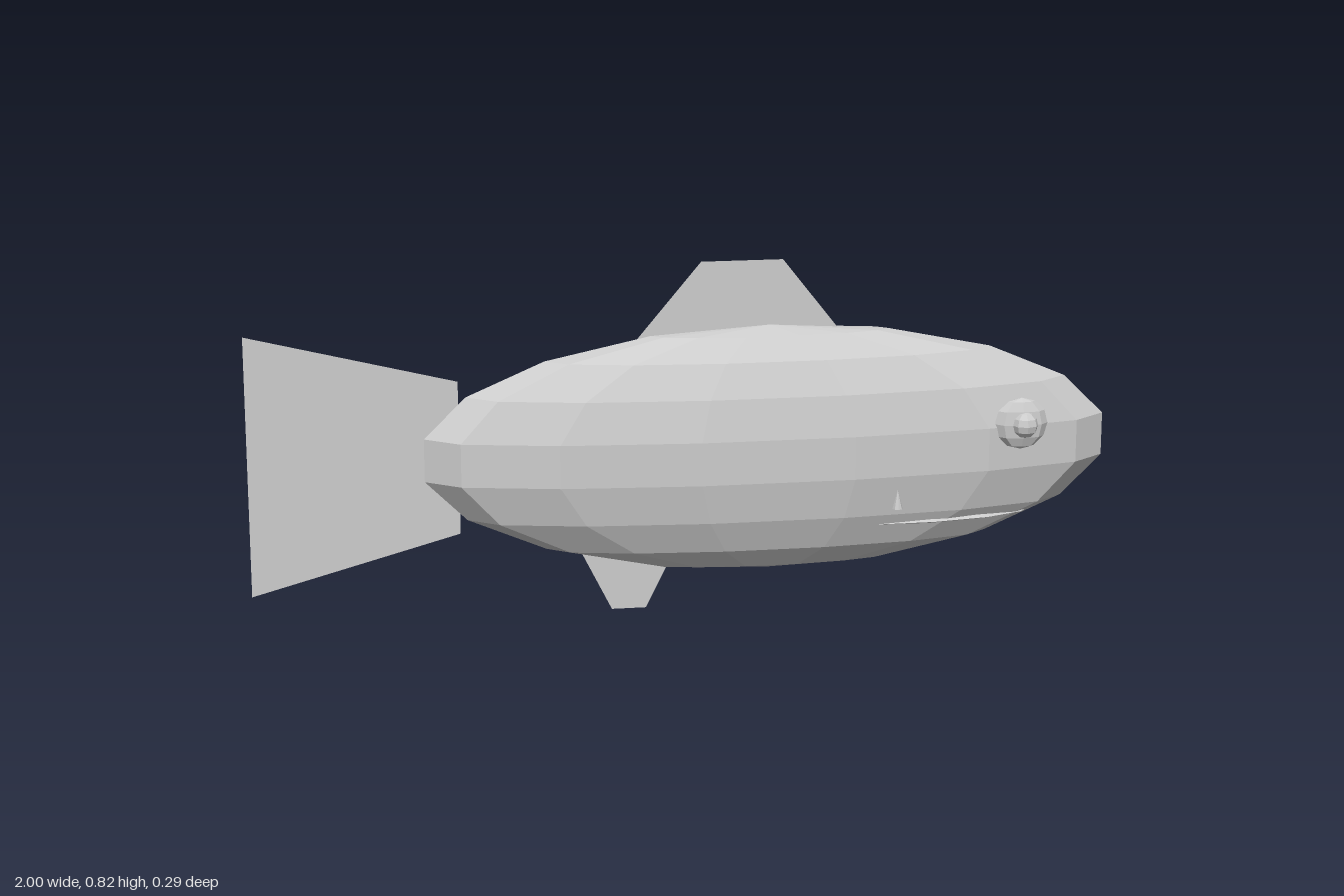
import * as THREE from 'three';

export function createModel() {
  const fish = new THREE.Group();
  fish.name = 'fish';

  const grey = new THREE.MeshStandardMaterial({ color: 0xcccccc, flatShading: true, side: THREE.DoubleSide });
  grey.name = 'grey';

  function add(name, geometry, x = 0, y = 0, z = 0) {
    const mesh = new THREE.Mesh(geometry, grey);
    mesh.name = name;
    mesh.position.set(x, y, z);
    fish.add(mesh);
    return mesh;
  }

  // Faceted ellipsoid with the given half-sizes
  function ellipsoid(rx, ry, rz, around, rows) {
    return new THREE.SphereGeometry(1, around, rows).scale(rx, ry, rz);
  }

  // Body: odd row count leaves a blunt vertical nose and tail end
  add('body', ellipsoid(0.812, 0.291, 0.139, 14, 9), 0.2, 0.377, 0);

  // Mouth: a flat lens that barely breaks through the body
  add('mouth', ellipsoid(0.33, 0.012, 0.103, 14, 6), 0.5, 0.207, 0);

  // Flat fins in the middle plane
  const fins = {
    tailFin: [[-1, 0.07], [-0.52, 0.2], [-0.52, 0.56], [-1, 0.68]],
    dorsalFin: [[-0.12, 0.63], [0.38, 0.63], [0.23, 0.82], [0.04, 0.82]],
    bellyFin: [[-0.17, 0], [-0.09, 0], [-0.02, 0.14], [-0.25, 0.16]],
  };
  for (const [name, corners] of Object.entries(fins)) {
    const shape = new THREE.Shape(corners.map(([x, y]) => new THREE.Vector2(x, y)));
    add(name, new THREE.ShapeGeometry(shape));
  }

  // Eyes, pupils and small side teeth, mirrored
  for (const [side, s] of [['left', 1], ['right', -1]]) {
    add(side + 'Eye', ellipsoid(0.063, 0.061, 0.025, 8, 6), 0.775, 0.436, s * 0.1);
    add(side + 'Pupil', ellipsoid(0.031, 0.031, 0.028, 8, 6), 0.78, 0.436, s * 0.117);
    add(side + 'Tooth', new THREE.ConeGeometry(0.012, 0.045, 8), 0.48, 0.273, s * 0.124);
  }

  return fish;
}
